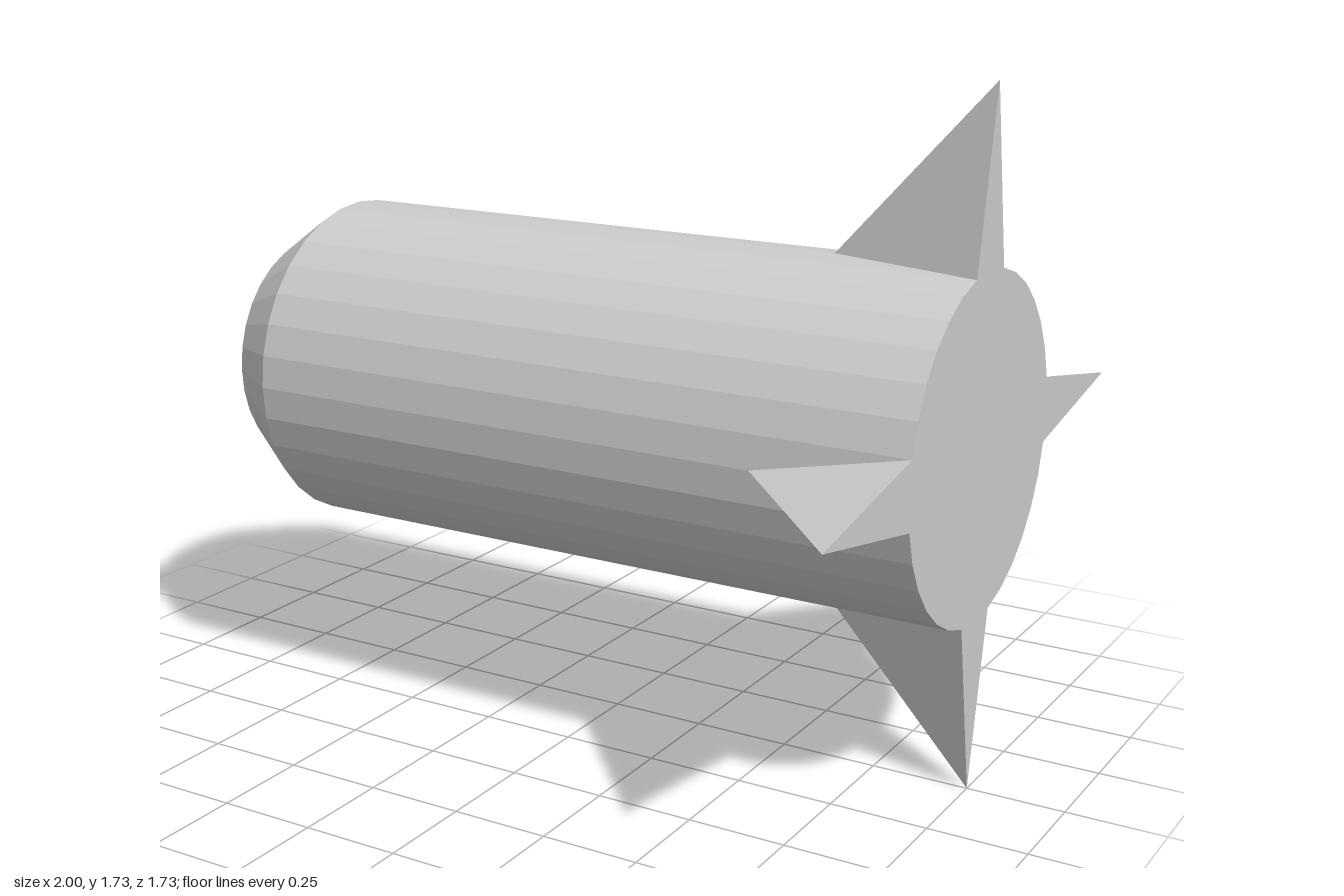
import * as THREE from 'three';

const RADIUS = 0.43;   // body radius
const SIDES = 32;      // facets around the body
const SPAN = 0.865;    // fin tip distance from the axis

// Wedge fin pointing up: sharp leading corner, two-facet-wide root at the tail
function finGeometry() {
  const half = (Math.PI * 2) / SIDES;
  const rootY = RADIUS * Math.cos(half), rootZ = RADIUS * Math.sin(half);
  const lead = [0.605, RADIUS, 0];
  const tip = [1, SPAN, 0];
  const left = [1, rootY, rootZ];
  const right = [1, rootY, -rootZ];
  const corners = [
    lead, left, tip,
    lead, tip, right,
    tip, left, right,
    lead, right, left,
  ].flat();
  const geometry = new THREE.BufferGeometry();
  geometry.setAttribute('position', new THREE.Float32BufferAttribute(corners, 3));
  geometry.computeVertexNormals();
  return geometry;
}

export function createModel() {
  const model = new THREE.Group();
  model.name = 'finnedCylinder';
  const material = new THREE.MeshStandardMaterial({ color: 0xcccccc, flatShading: true });

  // Body lying along x, with a tapered flat nose at -x
  const profile = [[0, -1], [0.31, -1], [RADIUS, -0.825], [RADIUS, 1], [0, 1]]
    .map(([r, y]) => new THREE.Vector2(r, y));
  const body = new THREE.Mesh(new THREE.LatheGeometry(profile, SIDES).rotateZ(-Math.PI / 2), material);
  body.name = 'body';
  model.add(body);

  // Four tail fins, a quarter turn apart
  const geometry = finGeometry();
  ['topFin', 'frontFin', 'bottomFin', 'backFin'].forEach((name, i) => {
    const fin = new THREE.Mesh(geometry, material);
    fin.name = name;
    fin.rotation.x = (i * Math.PI) / 2;
    model.add(fin);
  });

  // Rest the lowest fin tip on the ground
  model.position.y = SPAN;
  return model;
}
